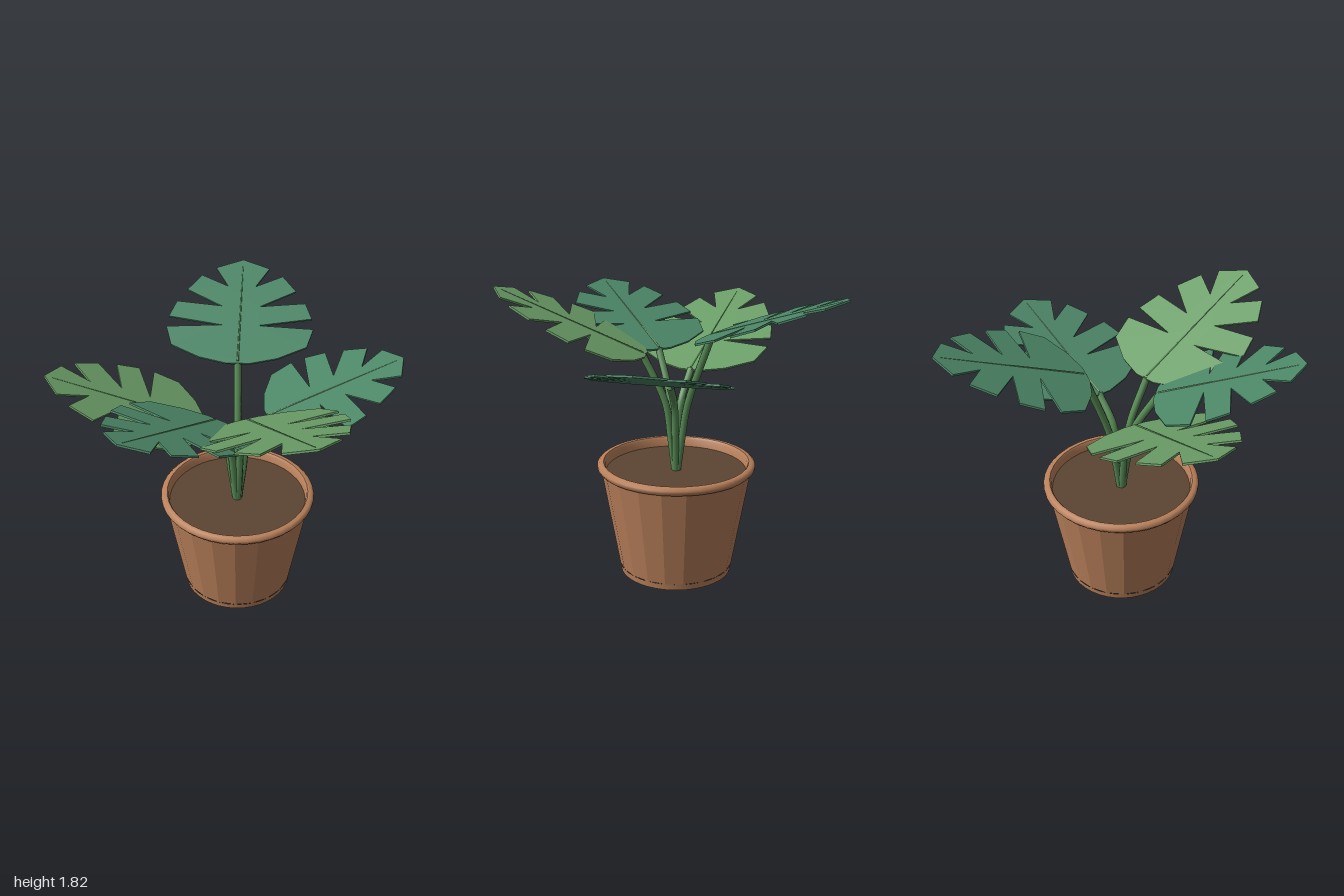
import * as THREE from 'three';
import { toCreasedNormals } from 'three/addons/utils/BufferGeometryUtils.js';

const mat = (name, color) => {
  const m = new THREE.MeshStandardMaterial({ color });
  m.name = name;
  return m;
};

const CX = 0.07, CZ = -0.05; // pot axis

// Half of the split leaf outline: [along, across], length 1 and half width 1
const HALF = [
  [-0.02, 0.16], [0.03, 0.52], [0.14, 0.91], [0.31, 1.0], [0.335, 0.24],
  [0.41, 0.98], [0.56, 0.89], [0.52, 0.26], [0.68, 0.76], [0.83, 0.57],
  [0.72, 0.19], [0.91, 0.38],
];

// base point, tip point, half width
const LEAVES = [
  { base: [-0.05, 1.385, 0.12], tip: [-0.5, 1.775, 0.9], width: 0.44, tone: 'light' },
  { base: [-0.165, 1.38, -0.04], tip: [-1.0, 1.69, 0.0], width: 0.42, tone: 'teal' },
  { base: [-0.08, 1.25, -0.22], tip: [-0.68, 1.61, -0.89], width: 0.41, tone: 'light' },
  { base: [0.25, 1.53, -0.19], tip: [0.93, 1.81, -0.67], width: 0.46, tone: 'teal' },
  { base: [0.24, 1.25, 0.07], tip: [0.91, 1.53, 0.59], width: 0.42, tone: 'teal' },
];

function lathe(points, sides) {
  return new THREE.LatheGeometry(points.map(([r, y]) => new THREE.Vector2(r, y)), sides);
}

function leafShape(length, width) {
  const right = HALF.map(([u, v]) => new THREE.Vector2(u * length, v * width));
  const left = HALF.map(([u, v]) => new THREE.Vector2(u * length, -v * width)).reverse();
  return new THREE.Shape([...right, new THREE.Vector2(length, 0), ...left]);
}

export function createModel() {
  const clay = mat('terracotta', 0xba815b);
  const soilMat = mat('soil', 0x5c4534);
  const stemMat = mat('stemGreen', 0x588c56);
  const leafMats = { light: mat('lightLeafGreen', 0x6b9f68), teal: mat('tealLeafGreen', 0x4c8667) };

  const model = new THREE.Group();
  model.name = 'pottedPlant';
  const add = (parent, name, geometry, material) => {
    const mesh = new THREE.Mesh(geometry, material);
    mesh.name = name;
    parent.add(mesh);
    return mesh;
  };

  // Pot
  const pot = new THREE.Group();
  pot.name = 'pot';
  pot.position.set(CX, 0, CZ);
  model.add(pot);
  const body = lathe([[0.357, 0.04], [0.468, 0.685]], 20).toNonIndexed();
  body.computeVertexNormals();
  add(pot, 'potBody', body, clay);
  add(pot, 'potFoot', toCreasedNormals(lathe([[0, 0], [0.352, 0], [0.357, 0.04]], 40), 0.6), clay);
  add(pot, 'potRim', toCreasedNormals(lathe([
    [0.435, 0.64], [0.442, 0.705], [0.452, 0.72], [0.476, 0.72], [0.491, 0.705],
    [0.491, 0.69], [0.478, 0.672], [0.455, 0.668],
  ].reverse(), 40), 0.9), clay);
  // Inner faces of the rim follow the same profile, so the order runs outside to inside
  pot.children[2].geometry = toCreasedNormals(lathe([
    [0.455, 0.668], [0.478, 0.672], [0.491, 0.69], [0.491, 0.705],
    [0.476, 0.72], [0.452, 0.72], [0.442, 0.705], [0.435, 0.64],
  ], 40), 0.9);
  const soil = add(pot, 'soil', new THREE.CircleGeometry(0.438, 40), soilMat);
  soil.rotation.x = -Math.PI / 2;
  soil.position.y = 0.658;

  // Stems and leaves
  for (const { base, tip, width, tone } of LEAVES) {
    const b = new THREE.Vector3(...base), t = new THREE.Vector3(...tip);
    const along = (f, y) => new THREE.Vector3(CX + (b.x - CX) * f, y, CZ + (b.z - CZ) * f);
    const path = new THREE.CatmullRomCurve3([
      along(0.03, 0.64), along(0.17, 0.87), along(0.33, 1.09), b,
    ]);
    add(model, 'stem', new THREE.TubeGeometry(path, 14, 0.023, 8), stemMat);

    const d = t.clone().sub(b), length = d.length();
    const leaf = new THREE.Group();
    leaf.name = 'leaf';
    leaf.position.copy(b);
    leaf.rotation.set(0, Math.atan2(-d.z, d.x), Math.asin(d.y / length), 'YZX');
    model.add(leaf);

    const blade = new THREE.ExtrudeGeometry(leafShape(length, width), { depth: 0.012, bevelEnabled: false });
    blade.rotateX(-Math.PI / 2);
    add(leaf, 'leafBlade', blade, leafMats[tone]);

    const rib = new THREE.CylinderGeometry(0.003, 0.007, length * 0.95, 6);
    rib.rotateZ(-Math.PI / 2).translate(length * 0.475, 0.011, 0);
    add(leaf, 'midrib', rib, stemMat);
  }
  return model;
}
